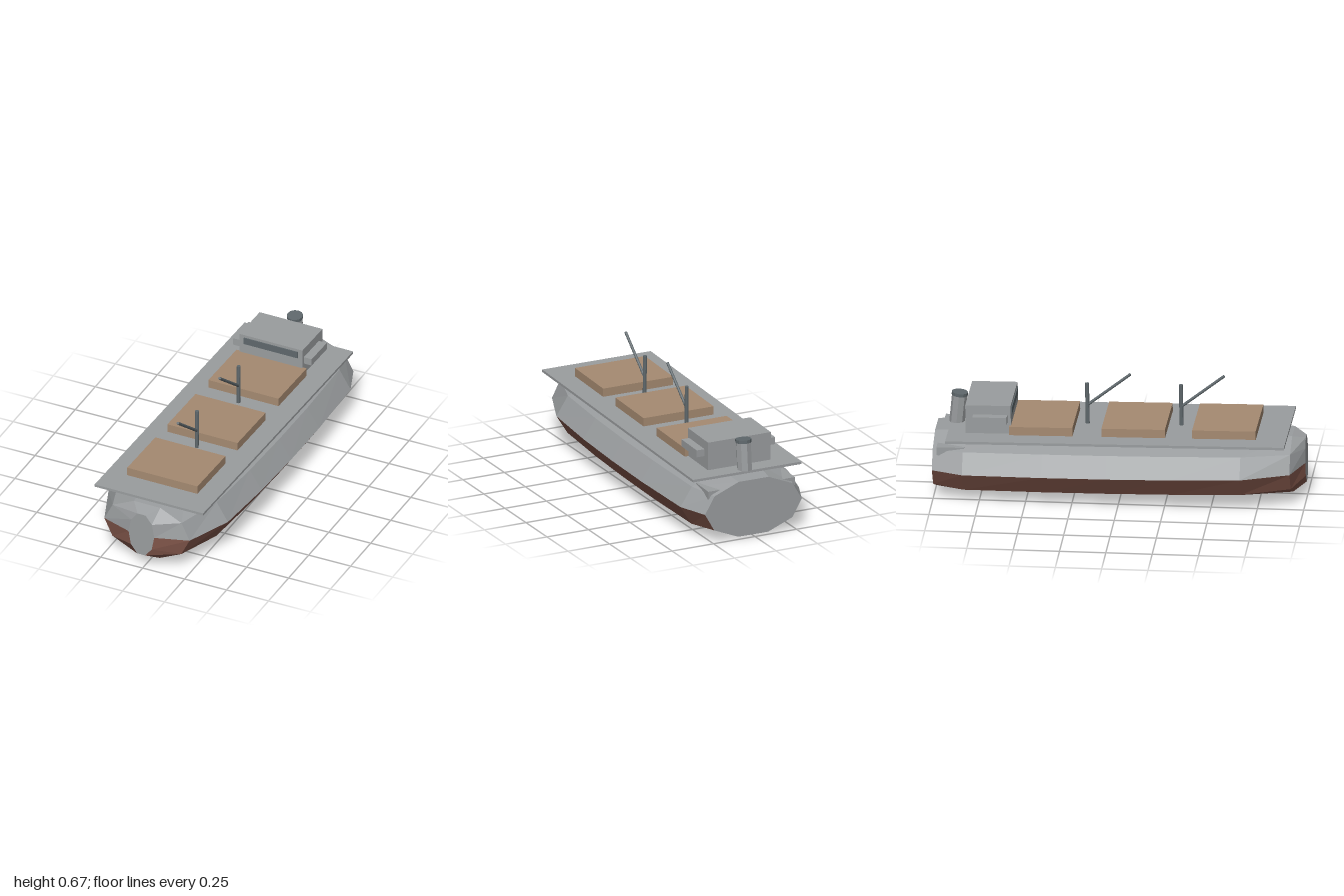
import * as THREE from 'three';

const mat = (name, color) => {
  const m = new THREE.MeshStandardMaterial({ color, flatShading: true });
  m.name = name;
  return m;
};

// Ten-sided hull sections from bow to stern: z, half width, half height, centre y
const STATIONS = [
  [0.998, 0.077, 0.133, 0.194],
  [0.93, 0.255, 0.167, 0.188],
  [0.67, 0.357, 0.182, 0.19],
  [0.3, 0.378, 0.184, 0.19],
  [-0.05, 0.383, 0.184, 0.19],
  [-0.4, 0.378, 0.184, 0.19],
  [-0.83, 0.355, 0.182, 0.188],
  [-0.998, 0.29, 0.166, 0.19],
];
const SIDES = 10;

function hullPoint(i, k) {
  const [z, rx, ry, cy] = STATIONS[i];
  const a = (k / SIDES) * Math.PI * 2;
  return [rx * Math.cos(a), cy + ry * Math.sin(a), z];
}

function hullGeometry(k0, k1, withCaps) {
  const pos = [];
  const last = STATIONS.length - 1;
  for (let i = 0; i < last; i++) {
    for (let k = k0; k < k1; k++) {
      const a = hullPoint(i, k), b = hullPoint(i, k + 1);
      const c = hullPoint(i + 1, k + 1), d = hullPoint(i + 1, k);
      pos.push(...a, ...d, ...c, ...a, ...c, ...b);
    }
  }
  // Flat bow and stern plates
  if (withCaps) {
    for (let k = 1; k < SIDES - 1; k++) {
      pos.push(...hullPoint(0, 0), ...hullPoint(0, k), ...hullPoint(0, k + 1));
      pos.push(...hullPoint(last, 0), ...hullPoint(last, k + 1), ...hullPoint(last, k));
    }
  }
  const g = new THREE.BufferGeometry();
  g.setAttribute('position', new THREE.Float32BufferAttribute(pos, 3));
  g.computeVertexNormals();
  return g;
}

export function createModel() {
  const grey = mat('hull grey', 0x9a9d9f);
  const red = mat('bottom red', 0x83574b);
  const tan = mat('hatch tan', 0xa58a71);
  const dark = mat('dark steel', 0x5f686c);

  const model = new THREE.Group();
  model.name = 'cargoShip';
  const ship = new THREE.Group();
  ship.name = 'ship';
  model.add(ship);

  const add = (name, geometry, material, x = 0, y = 0, z = 0) => {
    const mesh = new THREE.Mesh(geometry, material);
    mesh.name = name;
    mesh.position.set(x, y, z);
    ship.add(mesh);
    return mesh;
  };
  const box = (name, w, h, d, material, x, y, z) =>
    add(name, new THREE.BoxGeometry(w, h, d), material, x, y, z);
  const rod = (name, from, to, r, material) => {
    const a = new THREE.Vector3(...from), b = new THREE.Vector3(...to);
    const dir = b.clone().sub(a);
    const mesh = add(name, new THREE.CylinderGeometry(r, r, dir.length(), 8), material);
    mesh.position.copy(a).add(b).multiplyScalar(0.5);
    mesh.quaternion.setFromUnitVectors(new THREE.Vector3(0, 1, 0), dir.normalize());
    return mesh;
  };

  // Hull, grey above the waterline and red below
  add('upperHull', hullGeometry(0, 5, true), grey);
  add('lowerHull', hullGeometry(5, 10, false), red);
  box('deck', 0.65, 0.014, 1.83, grey, 0, 0.363, -0.005);

  // Cargo hatches
  for (const z of [0.575, 0.085, -0.415]) box('hatch', 0.42, 0.05, 0.343, tan, 0, 0.392, z);

  // Masts with cargo booms
  for (const z of [0.325, -0.182]) {
    rod('mast', [0, 0.365, z], [0, 0.6, z], 0.011, dark);
    rod('boom', [0, 0.475, z], [0, 0.654, z + 0.235], 0.008, dark);
  }

  // Bridge house with side wings and a window strip
  box('bridge', 0.376, 0.165, 0.245, grey, 0, 0.446, -0.7);
  box('bridgeWings', 0.47, 0.04, 0.185, grey, 0, 0.457, -0.688);
  box('bridgeWindow', 0.322, 0.038, 0.008, dark, 0, 0.494, -0.576);

  // Funnel leaning forward, with a dark cap
  const funnel = rod('funnel', [0, 0.365, -0.888], [0, 0.52, -0.871], 0.042, grey);
  const cap = add('funnelCap', new THREE.CylinderGeometry(0.044, 0.044, 0.018, 12), dark, 0, 0.528, -0.87);
  cap.quaternion.copy(funnel.quaternion);

  // Stern fittings poking out of the hull
  for (const s of [-1, 1]) box('sternFitting', 0.08, 0.045, 0.15, grey, s * 0.22, 0.288, -0.9);

  // Slight bow-up trim and heading
  ship.rotation.set(-0.0167, -0.01, 0);
  return model;
}
